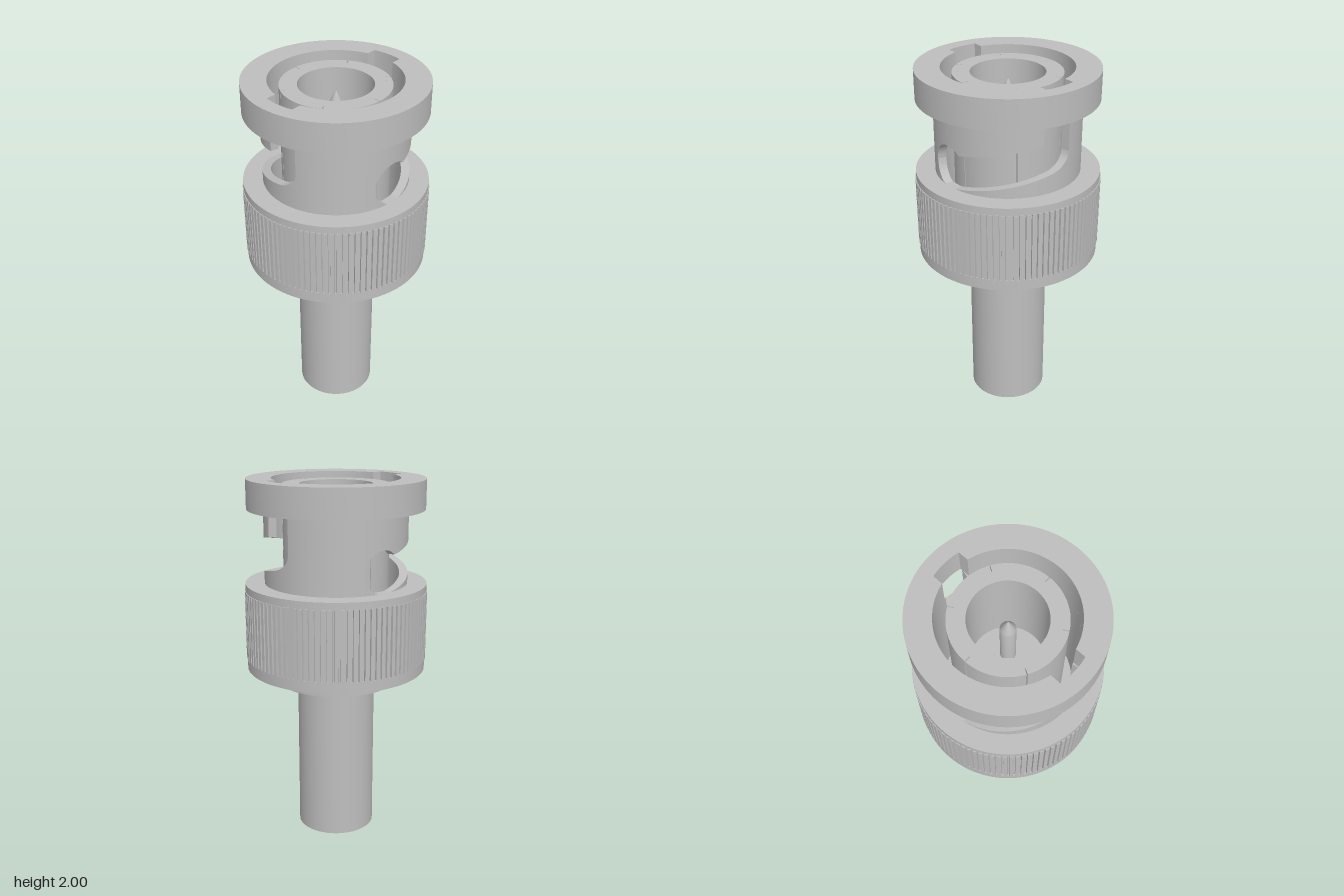
import * as THREE from 'three';
import { toCreasedNormals } from 'three/addons/utils/BufferGeometryUtils.js';

const metal = new THREE.MeshStandardMaterial({ color: 0xbebebe });
metal.name = 'grey metal';

// Smooth round faces, sharp edges (scaled up so small features stay separate)
function crease(geometry) {
  const g = toCreasedNormals(geometry.scale(100, 100, 100), 0.5);
  return g.scale(0.01, 0.01, 0.01);
}

function add(parent, name, geometry) {
  const mesh = new THREE.Mesh(geometry, metal);
  mesh.name = name;
  parent.add(mesh);
  return mesh;
}

// Turned part; profile is [radius, y], counterclockwise
function turned(profile, segments = 96) {
  const points = profile.map(([r, y]) => new THREE.Vector2(r, y));
  return crease(new THREE.LatheGeometry(points, segments));
}

// Curved wall between two angles (from +z towards +x) with varying lower and upper edges
function wall(start, end, low, high, rIn, rOut, steps) {
  const pos = [], idx = [];
  for (let i = 0; i <= steps; i++) {
    const a = start + (end - start) * i / steps;
    const lo = low(a), hi = high(a);
    for (const [r, y] of [[rIn, lo], [rOut, lo], [rOut, hi], [rIn, hi]]) {
      pos.push(r * Math.sin(a), y, r * Math.cos(a));
    }
    if (i === steps) break;
    for (let j = 0; j < 4; j++) {
      const p = i * 4 + j, q = i * 4 + (j + 1) % 4;
      idx.push(p, p + 4, q + 4, p, q + 4, q);
    }
  }
  const n = steps * 4;
  idx.push(0, 1, 2, 0, 2, 3, n, n + 2, n + 1, n, n + 3, n + 2);
  const g = new THREE.BufferGeometry();
  g.setAttribute('position', new THREE.Float32BufferAttribute(pos, 3));
  g.setIndex(idx);
  return crease(g);
}

// Flat shape in plan, raised from y by height
function raised(shape, y, height, curveSegments) {
  const g = new THREE.ExtrudeGeometry(shape, { depth: height, bevelEnabled: false, curveSegments });
  return g.rotateX(-Math.PI / 2).translate(0, y, 0);
}

export function createModel() {
  const model = new THREE.Group();
  model.name = 'bayonetConnector';

  // Hollow cable tube and its collar
  add(model, 'cableTube', turned([
    [0, 0.8], [0.18, 0.8], [0.18, 0], [0.215, 0], [0.215, 0.9]]));
  add(model, 'collar', turned([[0.2, 0.88], [0.33, 0.88], [0.33, 1.04]]));

  // Grip ring with a recess below and the socket floor inside
  add(model, 'gripRing', turned([
    [0.2, 1.03], [0.465, 1.03], [0.465, 0.96], [0.495, 0.96], [0.495, 1.02],
    [0.487, 1.02], [0.487, 1.4], [0.495, 1.4], [0.495, 1.44], [0.345, 1.44],
    [0.345, 1.2], [0.2, 1.2]], 128));

  // Knurling around the grip
  const knurl = new THREE.Shape();
  const teeth = 100, pitch = Math.PI * 2 / teeth;
  for (let i = 0; i < teeth; i++) {
    for (const [r, f] of [[0.486, 0], [0.5, 0.04], [0.5, 0.35], [0.5, 0.66], [0.486, 0.7]]) {
      const a = (i + f) * pitch;
      const x = r * Math.cos(a), y = r * Math.sin(a);
      if (i === 0 && f === 0) knurl.moveTo(x, y);
      else knurl.lineTo(x, y);
    }
  }
  knurl.closePath();
  knurl.holes.push(new THREE.Path().absarc(0, 0, 0.42, 0, Math.PI * 2, true));
  add(model, 'knurling', raised(knurl, 1.02, 0.38, 48));

  // Bayonet sleeve: round locking hole, rising slot, then an upright entry
  const R = 0.39, rIn = 0.345, base = 1.44, top = 1.84;
  const hole = 0.115, halfEntry = 0.085;
  const slotStart = -Math.asin(hole / R);
  const entryStart = Math.PI / 2 - Math.asin(halfEntry / R);
  const slotEnd = Math.PI / 2 + Math.asin(halfEntry / R);
  const circle = (a) => Math.abs(a) < Math.PI / 2
    ? Math.sqrt(Math.max(0, hole * hole - (R * Math.sin(a)) ** 2)) : 0;
  const slotTop = (a) => Math.max(1.55 + circle(a), a > 0 ? 1.62 + 0.066 * a : 0);
  const slotBottom = (a) => {
    if (a > 1.45) {
      const u = Math.min(1, (a - 1.45) / (slotEnd - 1.45));
      return 1.54 + 0.015 * u + 0.08 * (1 - Math.sqrt(1 - u * u));
    }
    const line = a > 0 ? 1.43 + 0.076 * a : 2;
    return Math.max(base, Math.min(1.55 - circle(a), line));
  };
  for (let i = 0; i < 2; i++) {
    const half = new THREE.Group();
    half.name = 'sleeveHalf';
    half.rotation.y = i * Math.PI;
    add(half, 'sleeveWall', wall(slotEnd, Math.PI + slotStart, () => base, () => top, rIn, R, 24));
    add(half, 'wallAboveSlot', wall(slotStart, entryStart, slotTop, () => top, rIn, R, 200));
    add(half, 'wallBelowSlot', wall(slotStart, slotEnd, () => base - 0.01, slotBottom, rIn, R, 200));
    model.add(half);
  }

  // Top flange with two entry notches
  const flange = new THREE.Shape().absarc(0, 0, 0.48, 0, Math.PI * 2, false);
  const a = Math.asin(halfEntry / rIn), b = Math.asin(halfEntry / 0.4);
  const opening = new THREE.Path();
  opening.absarc(0, 0, rIn, a, Math.PI - a, false);
  opening.absarc(0, 0, 0.4, Math.PI - b, Math.PI + b, false);
  opening.absarc(0, 0, rIn, Math.PI + a, Math.PI * 2 - a, false);
  opening.absarc(0, 0, 0.4, -b, b, false);
  opening.closePath();
  flange.holes.push(opening);
  add(model, 'topFlange', crease(raised(flange, top, 0.16, 48)));

  // Inner contact barrel, its outer wall split by six fine slits
  add(model, 'contactBarrel', turned([
    [0.255, 1.2], [0.255, 1.97], [0.195, 1.97], [0.195, 1.45], [0, 1.45]]));
  const gap = 0.008;
  for (let i = 0; i < 6; i++) {
    const s = i * Math.PI / 3;
    add(model, 'contactFinger', wall(s + gap, s + Math.PI / 3 - gap,
      () => 1.2, () => 1.97, 0.255, 0.287, 16));
  }

  // Stepped centre pin with a pointed tip
  add(model, 'centrePin', turned([
    [0.067, 1.45], [0.067, 1.56], [0.04, 1.56], [0.04, 1.86], [0, 1.935]], 40));

  return model;
}
